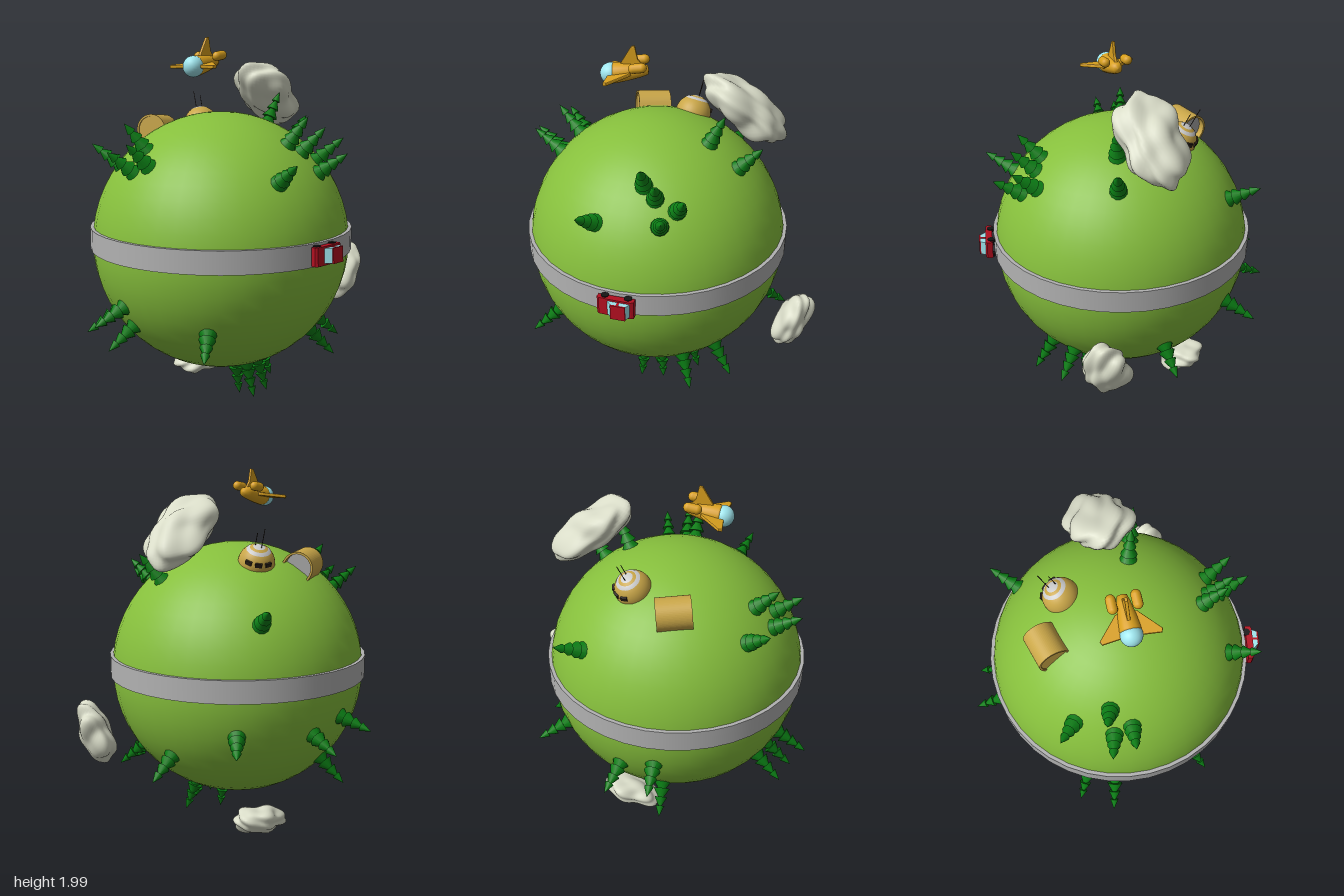
import * as THREE from 'three';
import { mergeVertices, mergeGeometries } from 'three/addons/utils/BufferGeometryUtils.js';

const V = (x, y, z) => new THREE.Vector3(x, y, z);
const mat = (color) => new THREE.MeshStandardMaterial({ color });
const C = V(0.03, 0.905, 0.05); // globe centre
const R = 0.705;

const M = {
  grass: mat(0x86bf3c), road: mat(0xb2b2b2), tree: mat(0x0a7d14), cloud: mat(0xd9dcc8),
  gold: mat(0xd9a01e), tan: mat(0xc9a648), white: mat(0xdcdcdc), grey: mat(0xaaaaaa),
  dark: mat(0x2a2118), red: mat(0xb30f20), glass: mat(0x9fe6ee), black: mat(0x151515),
};

function add(parent, name, geometry, material, x = 0, y = 0, z = 0) {
  const m = new THREE.Mesh(geometry, material);
  m.name = name;
  m.position.set(x, y, z);
  parent.add(m);
  return m;
}

// Group whose y axis is `up` and whose z axis leans towards `fwd`
function placed(parent, name, pos, up, fwd) {
  const g = new THREE.Group();
  g.name = name;
  const y = up.clone().normalize();
  const x = y.clone().cross(fwd).normalize();
  g.quaternion.setFromRotationMatrix(new THREE.Matrix4().makeBasis(x, y, x.clone().cross(y)));
  g.position.copy(pos);
  parent.add(g);
  return g;
}
const onGlobe = (dir, r) => dir.clone().normalize().multiplyScalar(r).add(C);

function polygon(points) {
  return new THREE.Shape(points.map((p) => new THREE.Vector2(p[0], p[1])));
}
const extrude = (shape, depth, bevel = 0) => new THREE.ExtrudeGeometry(shape, {
  depth, curveSegments: 16, bevelEnabled: bevel > 0, bevelSize: bevel, bevelThickness: bevel, bevelSegments: 2,
}).translate(0, 0, -depth / 2);

// Four stacked cones
function treeGeometry() {
  return mergeGeometries([0, 1, 2, 3].map((i) =>
    new THREE.ConeGeometry(0.054 - i * 0.01, 0.08 - i * 0.007, 12).translate(0, 0.04 + i * 0.044, 0)));
}

// Lumpy ellipsoid
function cloudGeometry(w, h, l, seed) {
  let g = new THREE.IcosahedronGeometry(1, 10);
  g.deleteAttribute('normal');
  g.deleteAttribute('uv');
  g = mergeVertices(g, 1e-4);
  const p = g.attributes.position, v = V(0, 0, 0);
  for (let i = 0; i < p.count; i++) {
    v.fromBufferAttribute(p, i);
    const n = 0.1 * Math.sin(4.3 * v.x + 2 * v.y + seed) * Math.cos(3.7 * v.z + seed * 2)
      + 0.07 * Math.sin(7 * v.z + 4 * v.x + seed * 3) + 0.05 * Math.cos(9 * v.x - 6 * v.y + seed);
    v.multiplyScalar(1 + n);
    p.setXYZ(i, v.x * w, v.y * h, v.z * l);
  }
  g.computeVertexNormals();
  return g;
}

function buildDome(root) {
  const dir = V(-0.268, 0.63, -0.17);
  const g = placed(root, 'domeHouse', onGlobe(dir, 0.695), dir, V(-0.7, 0, -0.7));
  const cap = (r, t0, t1) => new THREE.SphereGeometry(r, 32, 12, 0, Math.PI * 2, t0, t1 - t0);
  add(g, 'dome', cap(0.097, 0, Math.PI / 2), M.tan);
  add(g, 'domeInnerCircle', cap(0.0985, 0, 0.33), M.white);
  add(g, 'domeOuterCircle', cap(0.0985, 0.5, 0.72), M.white);
  for (const a of [-0.6, 0, 0.6]) {
    const w = add(g, 'domeWindow', new THREE.BoxGeometry(0.036, 0.022, 0.016), M.dark,
      Math.sin(a) * 0.088, 0.036, Math.cos(a) * 0.088);
    w.rotation.y = a;
  }
  add(g, 'antenna', new THREE.CylinderGeometry(0.002, 0.002, 0.12, 6), M.dark, 0.01, 0.148, 0.015);
  add(g, 'shortAntenna', new THREE.CylinderGeometry(0.002, 0.002, 0.08, 6), M.dark, -0.02, 0.128, -0.01);
}

function buildHangar(root) {
  const dir = V(-0.386, 0.585, 0.07);
  const g = placed(root, 'hangar', onGlobe(dir, 0.685), dir, V(0.057, 0, 0.17));
  const arch = (r, b) => {
    const s = new THREE.Shape();
    s.moveTo(r, b);
    s.lineTo(r, 0.03);
    s.absarc(0, 0.03, r, 0, Math.PI, false);
    s.lineTo(-r, b);
    s.closePath();
    return s;
  };
  const shell = arch(0.084, -0.01);
  shell.holes.push(arch(0.073, -0.005));
  add(g, 'hangarShell', extrude(shell, 0.18), M.tan);
  add(g, 'hangarFrontWall', extrude(arch(0.075, -0.01), 0.01), M.tan, 0, 0, 0.078);
  add(g, 'hangarDoor', extrude(arch(0.075, -0.01), 0.01), M.grey, 0, 0, -0.05);
}

function buildCar(root) {
  const dir = V(0.71, 0.03, 0.115);
  const g = placed(root, 'car', onGlobe(dir, 0.716), dir, V(0, 0, 1));
  // Side profiles run along the car, extruded over its width
  const side = (pts, width) => extrude(polygon(pts), width).rotateY(-Math.PI / 2);
  add(g, 'carBody', side([[-0.095, 0.012], [0.095, 0.012], [0.097, 0.035], [0.085, 0.045],
    [0.035, 0.048], [-0.08, 0.05], [-0.095, 0.042]], 0.096), M.red);
  add(g, 'carWindows', side([[-0.078, 0.045], [0.042, 0.045], [0.012, 0.078], [-0.062, 0.078]], 0.076), M.glass);
  add(g, 'carRoof', new THREE.BoxGeometry(0.08, 0.008, 0.076), M.red, 0, 0.08, -0.025);
  for (const s of [-1, 1]) {
    for (const z of [-0.06, 0.06]) {
      add(g, 'carWheel', new THREE.CylinderGeometry(0.02, 0.02, 0.016, 16).rotateZ(Math.PI / 2),
        M.black, s * 0.044, 0.018, z);
    }
    add(g, 'carPillar', new THREE.BoxGeometry(0.004, 0.034, 0.012), M.red, s * 0.038, 0.062, -0.02);
  }
}

function buildShip(root) {
  const g = new THREE.Group();
  g.name = 'rocketPlane';
  g.position.set(0.027, 1.862, 0.2);
  g.rotation.x = 0.14;
  root.add(g);
  // Fuselage along z
  const profile = [[0, -0.11], [0.024, -0.105], [0.034, -0.07], [0.046, 0], [0.053, 0.06], [0.05, 0.08], [0, 0.085]];
  add(g, 'fuselage', new THREE.LatheGeometry(profile.map((p) => new THREE.Vector2(...p)), 24).rotateX(Math.PI / 2), M.gold);
  add(g, 'cockpit', new THREE.SphereGeometry(0.055, 24, 16), M.glass, 0, 0, 0.087);
  for (const s of [-1, 1]) {
    const wing = polygon([[0, -0.03], [s * 0.05, -0.015], [s * 0.143, 0.088], [s * 0.138, 0.1], [s * 0.06, 0.092], [0, 0.085]]);
    add(g, 'wing', extrude(wing, 0.008, 0.005).rotateX(-Math.PI / 2).scale(1, 1, -1).rotateZ(Math.PI)
      .scale(1, 1, 1), M.gold).rotation.z = 0;
    add(g, 'engine', new THREE.CapsuleGeometry(0.025, 0.045, 6, 14).rotateX(Math.PI / 2), M.gold, s * 0.06, 0.035, -0.065);
  }
  const fin = polygon([[0.04, 0.03], [-0.042, 0.128], [-0.055, 0.128], [-0.06, 0.06], [-0.085, 0.02]]);
  add(g, 'tailFin', extrude(fin, 0.008, 0.004).rotateY(-Math.PI / 2), M.gold);
}

// Flat plates mirrored by scaling need their winding restored
function fixWings(root) {
  root.traverse((o) => {
    if (o.name !== 'wing') return;
    const p = o.geometry.attributes.position;
    for (let i = 0; i < p.count; i += 3) {
      const a = V(0, 0, 0).fromBufferAttribute(p, i), c = V(0, 0, 0).fromBufferAttribute(p, i + 2);
      p.setXYZ(i, c.x, c.y, c.z);
      p.setXYZ(i + 2, a.x, a.y, a.z);
    }
    // plate points towards the tail
    for (let i = 0; i < p.count; i++) p.setZ(i, p.getZ(i));
    o.geometry.computeVertexNormals();
  });
}

export function createModel() {
  const root = new THREE.Group();
  root.name = 'tinyPlanet';

  add(root, 'globe', new THREE.SphereGeometry(R, 40, 28), M.grass, C.x, C.y, C.z);
  add(root, 'ringRoad', new THREE.CylinderGeometry(0.718, 0.718, 0.12, 40), M.road, C.x, 0.935, C.z);

  // Trees, by outward direction
  const trees = [
    [-0.42, 0.54, 0.55], [-0.19, 0.655, 0.556], [-0.075, 0.565, 0.67], [-0.193, 0.522, 0.682],
    [0.55, 0.69, 0.015], [0.606, 0.635, -0.06], [0.636, 0.575, -0.198], [0.713, 0.505, -0.1],
    [0.67, 0.48, 0.31], [0.145, 0.792, -0.356], [0.205, 0.656, -0.55], [-0.59, 0.43, -0.49],
    [-0.525, -0.27, -0.65], [-0.85, -0.23, 0.04], [-0.797, -0.31, -0.2], [-0.68, -0.555, 0.06],
    [-0.21, -0.35, 0.78], [-0.19, -0.49, 0.706], [-0.38, -0.435, 0.664], [0.376, -0.455, 0.65],
    [0.59, -0.61, -0.24], [0.5, -0.57, -0.45], [-0.05, -0.47, -0.74],
    [0.123, -0.87, -0.01], [0.27, -0.835, 0.066], [0.17, -0.825, -0.256], [0.27, -0.835, -0.06],
  ];
  const treeGeo = treeGeometry();
  for (const t of trees) {
    const dir = V(...t);
    add(placed(root, 'tree', onGlobe(dir, 0.69), dir, V(0.3, 0.1, 1)), 'treeCones', treeGeo, M.tree);
  }

  // Clouds: centre, outward direction, long direction, half sizes
  const clouds = [
    [V(0.03, 1.69, -0.41), V(0, 0.79, -0.61), V(0, 0, 1), [0.168, 0.1, 0.25]],
    [V(0.38, 0.625, -0.72), V(0.35, -0.28, -0.77), V(0, 1, 0), [0.12, 0.08, 0.172]],
    [V(-0.28, 0.11, -0.14), V(-0.31, -0.8, -0.25), V(0, 0, 1), [0.12, 0.072, 0.165]],
  ];
  clouds.forEach(([pos, up, fwd, size], i) =>
    add(placed(root, 'cloud', pos, up, fwd), 'cloudPuff', cloudGeometry(...size, i * 1.7 + 0.6), M.cloud));

  buildDome(root);
  buildHangar(root);
  buildCar(root);
  buildShip(root);
  fixWings(root);
  return root;
}
